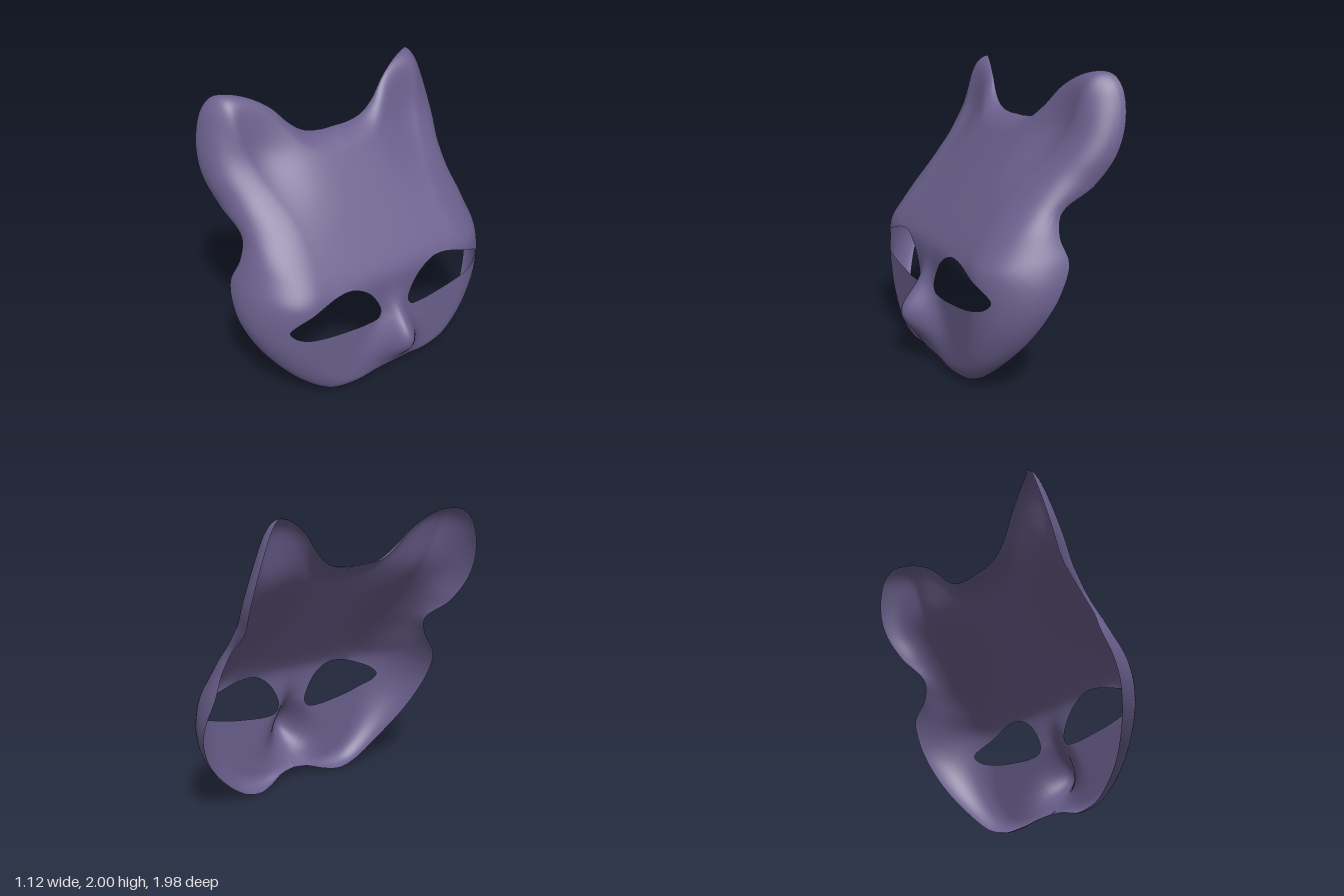
import * as THREE from 'three';
import { mergeVertices } from 'three/addons/utils/BufferGeometryUtils.js';

// Outer rim of one half, from chin centre round the cheek and ear to the brow centre
const RIM = [
  [0.35, 0.07, 0], [0.335, 0.055, 0.12], [0.29, 0.015, 0.25], [0.255, 0, 0.37], [0.245, 0.035, 0.51],
  [0.195, 0.19, 0.71], [0.09, 0.41, 0.885], [0, 0.6, 0.97], [-0.07, 0.74, 0.988], [-0.135, 0.9, 0.96],
  [-0.11, 1.05, 0.89], [-0.15, 1.18, 0.845], [-0.35, 1.33, 0.88], [-0.47, 1.5, 0.918],
  [-0.53, 1.65, 0.915], [-0.56, 1.81, 0.88], [-0.558, 1.92, 0.835], [-0.535, 1.985, 0.775], [-0.49, 2, 0.71],
  [-0.44, 1.97, 0.59], [-0.39, 1.885, 0.45], [-0.355, 1.755, 0.33], [-0.34, 1.685, 0.23],
  [-0.33, 1.66, 0.1], [-0.33, 1.66, 0],
];
// Eye opening as [z, y]
const EYE = [
  [0.12, 0.58], [0.145, 0.53], [0.22, 0.515], [0.4, 0.53], [0.6, 0.565], [0.76, 0.62], [0.795, 0.67],
  [0.75, 0.72], [0.6, 0.785], [0.45, 0.83], [0.33, 0.828], [0.22, 0.765], [0.15, 0.67],
];
const EYE_CENTRE = [0.42, 0.67];
const RINGS = 30;

const gauss = (d, s) => Math.exp(-0.5 * (d / s) ** 2);
const softRamp = (d, s) => s * Math.log(1 + Math.exp(d / s));

// Front face before the rim rolls back: flat cheeks, sloped brow, nose and ear hollows
function face(y, z) {
  const brow = 0.36 - 0.725 * softRamp(y - 0.838, 0.03) + 0.225 * softRamp(y - 1.62, 0.03);
  const noseWidth = THREE.MathUtils.clamp(0.095 + 0.2 * (0.37 - y), 0.055, 0.14);
  const nose = 0.195 * gauss(y - 0.37, 0.14) * gauss(z, noseWidth);
  const earHollow = 0.08 * gauss(y - 1.57, 0.2) * gauss(z - 0.62, 0.17);
  return brow + nose - earHollow;
}

// Rim samples with the depth of the roll and its width
function makeRim() {
  const curve = new THREE.CatmullRomCurve3(RIM.map((p) => new THREE.Vector3(...p)), false, 'centripetal');
  return curve.getSpacedPoints(640).map((p) => {
    const depth = face(p.y, p.z) - p.x;
    return { y: p.y, z: Math.max(0, p.z), depth, width: THREE.MathUtils.clamp(depth * 1.1, 0.08, 0.44) };
  });
}

// Surface depth at a point: the face, rolled back in a quarter round near the rim
function surfaceX(y, z, rim) {
  let near = Infinity, sum = 0, depth = 0, width = 0;
  for (const r of rim) {
    const d2 = (r.y - y) ** 2 + (r.z - z) ** 2;
    const w = 1 / (d2 + 1e-6) ** 2;
    near = Math.min(near, d2);
    sum += w;
    depth += w * r.depth;
    width += w * r.width;
  }
  const t = Math.max(0, 1 - Math.sqrt(near) / (width / sum));
  return face(y, z) - (depth / sum) * (1 - Math.sqrt(1 - t * t));
}

// Points of one half, in rings from the outer loop in to the eye opening
function makeHalf() {
  const rim = makeRim();
  const outer = rim.filter((_, i) => i % 4 === 0).map((r) => [r.z, r.y]);
  for (let i = 1; i < 60; i++) outer.push([0, THREE.MathUtils.lerp(1.66, 0.07, i / 60)]);

  const angle = ([z, y]) => Math.atan2(y - EYE_CENTRE[1], z - EYE_CENTRE[0]);
  const eye = new THREE.CatmullRomCurve3(EYE.map(([z, y]) => new THREE.Vector3(z, y, 0)), true)
    .getSpacedPoints(1600).map((p) => [p.x, p.y]);
  const eyeAngles = eye.map(angle);
  const inner = outer.map((p) => {
    const a = angle(p);
    let best = 0, bestCos = -2;
    eyeAngles.forEach((e, i) => {
      const c = Math.cos(e - a);
      if (c > bestCos) { bestCos = c; best = i; }
    });
    return eye[best];
  });

  const points = [];
  for (let j = 0; j <= RINGS; j++) {
    const t = (j / RINGS) ** 1.8;
    outer.forEach(([z0, y0], i) => {
      const z = THREE.MathUtils.lerp(z0, inner[i][0], t);
      const y = THREE.MathUtils.lerp(y0, inner[i][1], t);
      points.push([surfaceX(y, z, rim), y, z]);
    });
  }
  return { points, count: outer.length };
}

export function createModel() {
  const { points, count } = makeHalf();
  const positions = [], indices = [];

  // Both halves, mirrored across z = 0 and welded down the middle
  for (const side of [1, -1]) {
    const base = positions.length / 3;
    for (const [x, y, z] of points) positions.push(x, y, side * z);
    for (let j = 0; j < RINGS; j++) {
      for (let i = 0; i < count; i++) {
        const next = (i + 1) % count;
        const a = base + j * count + i, b = base + j * count + next;
        const c = a + count, d = b + count;
        if (side > 0) indices.push(a, c, b, b, c, d);
        else indices.push(a, b, c, b, d, c);
      }
    }
  }
  let geometry = new THREE.BufferGeometry();
  geometry.setAttribute('position', new THREE.Float32BufferAttribute(positions, 3));
  geometry.setIndex(indices);
  geometry = mergeVertices(geometry, 1e-5);
  geometry.computeVertexNormals();

  const material = new THREE.MeshStandardMaterial({ color: 0x6a5f8c, side: THREE.DoubleSide });
  const mask = new THREE.Mesh(geometry, material);
  mask.name = 'catMask';

  const group = new THREE.Group();
  group.name = 'mask';
  group.add(mask);
  return group;
}
